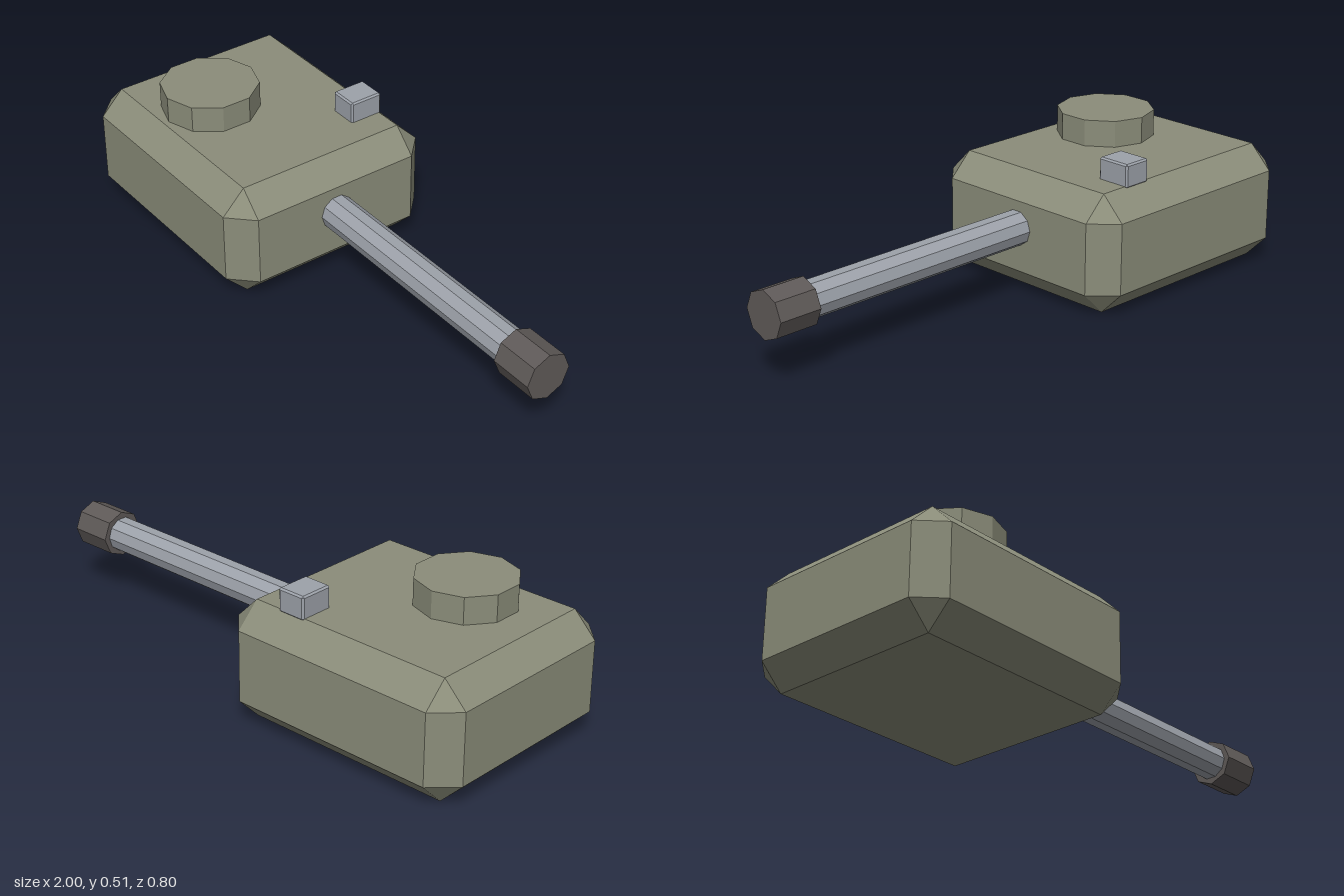
import * as THREE from 'three';
import { ConvexGeometry } from 'three/addons/geometries/ConvexGeometry.js';

const paint = (name, color) => Object.assign(new THREE.MeshStandardMaterial({ color, flatShading: true }), { name });

// Box with every edge cut at 45 degrees, leaving triangular corners
function chamferBox(w, h, d, c) {
  const x = w / 2, y = h / 2, z = d / 2, points = [];
  for (const i of [-1, 1]) for (const j of [-1, 1]) for (const k of [-1, 1]) {
    points.push(
      new THREE.Vector3(i * x, j * (y - c), k * (z - c)),
      new THREE.Vector3(i * (x - c), j * y, k * (z - c)),
      new THREE.Vector3(i * (x - c), j * (y - c), k * z));
  }
  return new ConvexGeometry(points);
}

export function createModel() {
  const model = new THREE.Group();
  model.name = 'turret';
  const olive = paint('olive armour', 0x8b8d7a);
  const steel = paint('blue grey steel', 0x9da2aa);
  const dark = paint('dark gunmetal', 0x5f5a58);

  const add = (name, geometry, material, x, y, z) => {
    const mesh = new THREE.Mesh(geometry, material);
    mesh.name = name;
    mesh.position.set(x, y, z);
    model.add(mesh);
    return mesh;
  };
  // Faceted rod lying along x
  const rod = (name, radius, x0, x1, sides, material) =>
    add(name, new THREE.CylinderGeometry(radius, radius, x1 - x0, sides).rotateZ(-Math.PI / 2),
      material, (x0 + x1) / 2, 0.238, 0);

  // Armoured housing
  add('housing', chamferBox(0.93, 0.417, 0.8, 0.083), olive, -0.535, 0.2085, 0);

  // Roof hatch and sight
  add('hatch', new THREE.CylinderGeometry(0.1725, 0.1725, 0.11, 10), olive, -0.638, 0.456, 0.125);
  add('sight', chamferBox(0.105, 0.083, 0.124, 0.006), steel, -0.307, 0.4515, -0.263);

  // Gun
  rod('barrel', 0.062, -0.12, 0.86, 10, steel);
  rod('muzzle', 0.083, 0.845, 1, 8, dark);

  return model;
}
